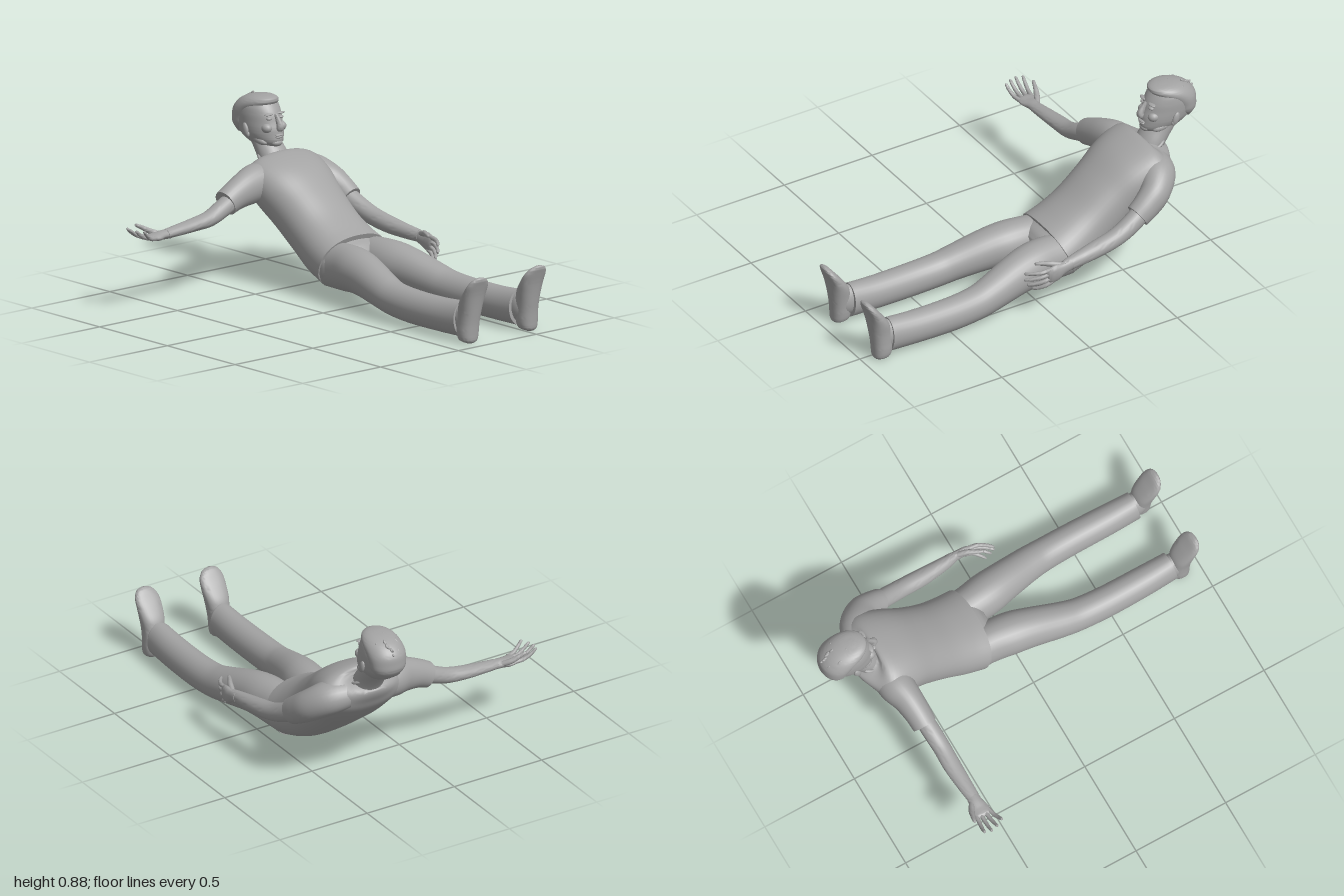
import * as THREE from 'three';
import { toCreasedNormals } from 'three/addons/utils/BufferGeometryUtils.js';

const grey = new THREE.MeshStandardMaterial({ color: 0xa3a3a3 });
grey.name = 'plain grey';
const V = (x, y, z) => new THREE.Vector3(x, y, z);
const X = V(1, 0, 0), Y = V(0, 1, 0), Z = V(0, 0, 1);
const MID = -0.34; // z of the body's plane of symmetry

// Smooth skin through sections [x, y, z, halfWidth, halfDepth]; ref gives the width direction
function loft(name, keys, ref, { axis = null, n = 28, steps = 5, e = 1 } = {}) {
  const rows = [];
  for (let i = 0; i < keys.length - 1; i++) {
    const p = [keys[Math.max(i - 1, 0)], keys[i], keys[i + 1], keys[Math.min(i + 2, keys.length - 1)]];
    for (let s = 0; s < steps; s++) {
      const t = s / steps;
      rows.push(p[1].map((_, k) => {
        const [a, b, c, d] = p.map(q => q[k]);
        return 0.5 * (2 * b + (c - a) * t + (2 * a - 5 * b + 4 * c - d) * t * t + (3 * b - a - 3 * c + d) * t ** 3);
      }));
    }
  }
  rows.push(keys[keys.length - 1]);
  const pos = [], idx = [];
  const bend = v => Math.sign(v) * Math.abs(v) ** e;
  const centre = r => V(r[0], r[1], r[2]);
  rows.forEach((r, i) => {
    const t = axis ? axis.clone() : centre(rows[Math.min(i + 1, rows.length - 1)]).sub(centre(rows[Math.max(i - 1, 0)]));
    t.normalize();
    const u = ref.clone().addScaledVector(t, -ref.dot(t)).normalize();
    const v = t.clone().cross(u);
    for (let j = 0; j < n; j++) {
      const th = j / n * Math.PI * 2;
      const p = centre(r).addScaledVector(u, Math.max(r[3], 0.001) * bend(Math.cos(th)))
        .addScaledVector(v, Math.max(r[4], 0.001) * bend(Math.sin(th)));
      pos.push(p.x, p.y, p.z);
      if (i < rows.length - 1) {
        const a = i * n + j, b = i * n + (j + 1) % n;
        idx.push(a, b, a + n, b, b + n, a + n);
      }
    }
  });
  // End caps
  const last = rows.length - 1, c0 = rows.length * n;
  pos.push(...rows[0].slice(0, 3), ...rows[last].slice(0, 3));
  for (let j = 0; j < n; j++) {
    const k = (j + 1) % n;
    idx.push(c0, k, j, c0 + 1, last * n + j, last * n + k);
  }
  const g = new THREE.BufferGeometry();
  g.setAttribute('position', new THREE.Float32BufferAttribute(pos, 3));
  g.setIndex(idx);
  return mesh(name, toCreasedNormals(g, 1.0));
}

function mesh(name, geometry) {
  const m = new THREE.Mesh(geometry, grey);
  m.name = name;
  return m;
}

function blob(name, p, r, tilt = 0) {
  const m = mesh(name, new THREE.SphereGeometry(1, 16, 12));
  m.position.set(...p);
  m.scale.set(...r);
  m.rotation.z = tilt;
  return m;
}

// Hand: dir runs along the fingers, across points to the thumb, palm is the palm's normal
function hand(name, wrist, dir, across, palm) {
  const g = new THREE.Group();
  g.name = name;
  const at = (d, a, p, w, h) => {
    const q = wrist.clone().addScaledVector(dir, d).addScaledVector(across, a).addScaledVector(palm, p);
    return [q.x, q.y, q.z, w, h];
  };
  g.add(loft('palm', [at(-0.03, 0, 0, 0.03, 0.024), at(0.02, 0.002, 0, 0.034, 0.022), at(0.06, 0.002, -0.003, 0.045, 0.019),
    at(0.095, 0, 0, 0.044, 0.014), at(0.108, 0, 0, 0.034, 0.006)], across, { n: 18 }));
  [[0.034, 0.097, 0.016], [0.012, 0.108, 0.004], [-0.012, 0.1, -0.008], [-0.034, 0.08, -0.022]].forEach(([a, len, splay], i) => {
    g.add(loft('finger' + (i + 1), [at(0.085, a, 0, 0.011, 0.011), at(0.1 + len * 0.3, a + splay * 0.4, 0.006, 0.0105, 0.0105),
      at(0.1 + len * 0.7, a + splay * 0.8, 0.027, 0.009, 0.009), at(0.1 + len * 0.97, a + splay, 0.05, 0.007, 0.007),
      at(0.1 + len, a + splay, 0.054, 0.002, 0.002)], across, { n: 10, steps: 4 }));
  });
  g.add(loft('thumb', [at(0.02, 0.022, 0.004, 0.014, 0.014), at(0.06, 0.045, 0.02, 0.015, 0.014), at(0.095, 0.058, 0.04, 0.011, 0.011),
    at(0.125, 0.066, 0.055, 0.008, 0.008), at(0.131, 0.067, 0.058, 0.002, 0.002)], across, { n: 10, steps: 4 }));
  return g;
}

function head() {
  const g = new THREE.Group();
  g.name = 'head';
  // [y, back x, front x, half width]
  const stack = rows => rows.map(([y, b, f, w]) => [(b + f) / 2, y, MID + 0.005, w, (f - b) / 2]);
  g.add(loft('skull', stack([[0.63, -0.84, -0.745, 0.03], [0.645, -0.89, -0.722, 0.054], [0.67, -0.94, -0.706, 0.074],
    [0.7, -0.972, -0.708, 0.088], [0.73, -0.988, -0.712, 0.093], [0.76, -0.996, -0.722, 0.095], [0.8, -0.99, -0.734, 0.095],
    [0.84, -0.96, -0.757, 0.087], [0.868, -0.915, -0.78, 0.064], [0.88, -0.86, -0.81, 0.02]]), Z, { axis: Y, n: 36 }));
  g.add(loft('hair', stack([[0.69, -0.968, -0.91, 0.06], [0.73, -0.997, -0.86, 0.089], [0.77, -1.0, -0.845, 0.096],
    [0.81, -0.995, -0.81, 0.098], [0.845, -0.968, -0.762, 0.092], [0.868, -0.93, -0.752, 0.076], [0.881, -0.885, -0.775, 0.05],
    [0.886, -0.84, -0.81, 0.015]]), Z, { axis: Y, n: 36 }));
  // Short tufts on the crown
  let seed = 7;
  const rnd = () => (seed = seed * 16807 % 2147483647) / 2147483647;
  for (let i = 0; i < 36; i++) {
    const a = rnd() * Math.PI * 2, h = 0.25 + rnd() * 0.7, r = Math.sqrt(1 - h * h);
    g.add(blob('tuft', [-0.885 + 0.105 * r * Math.cos(a), 0.785 + 0.095 * h, MID + 0.005 + 0.088 * r * Math.sin(a)],
      [0.014, 0.007, 0.007], rnd() * 2 - 1));
  }
  // Face
  const c = MID + 0.005;
  g.add(loft('nose', [[-0.735, 0.8, c, 0.009, 0.01], [-0.718, 0.775, c, 0.011, 0.014], [-0.702, 0.748, c, 0.017, 0.018],
    [-0.703, 0.733, c, 0.02, 0.016], [-0.71, 0.726, c, 0.012, 0.006]], Z, { n: 14 }));
  g.add(blob('upperLip', [-0.709, 0.702, c], [0.012, 0.006, 0.026]));
  g.add(blob('lowerLip', [-0.709, 0.692, c], [0.011, 0.007, 0.022]));
  g.add(blob('chin', [-0.728, 0.662, c], [0.025, 0.02, 0.034]));
  for (const s of [1, -1]) {
    g.add(blob('brow', [-0.744, 0.802, c + s * 0.037], [0.014, 0.006, 0.027]));
    g.add(blob('eye', [-0.741, 0.782, c + s * 0.037], [0.013, 0.008, 0.016]));
    g.add(blob('cheek', [-0.75, 0.735, c + s * 0.045], [0.03, 0.025, 0.027]));
    g.add(blob('jaw', [-0.8, 0.675, c + s * 0.052], [0.06, 0.022, 0.026], -0.25));
    g.add(blob('ear', [-0.846, 0.72, c + s * 0.097], [0.018, 0.034, 0.011], 0.3));
    g.add(blob('earLobe', [-0.832, 0.697, c + s * 0.094], [0.01, 0.014, 0.008]));
  }
  return g;
}

function leg(name, s) {
  const g = new THREE.Group();
  g.name = name;
  const side = rows => rows.map(([x, y, z, a, b]) => [x, y, MID + s * z, a, b]);
  g.add(loft('trouserLeg', side([[-0.22, 0.165, 0.1, 0.095, 0.11], [-0.1, 0.172, 0.105, 0.101, 0.116], [0, 0.175, 0.118, 0.105, 0.111],
    [0.1, 0.163, 0.136, 0.097, 0.103], [0.25, 0.13, 0.164, 0.086, 0.09], [0.35, 0.11, 0.176, 0.08, 0.085],
    [0.5, 0.1, 0.182, 0.077, 0.085], [0.7, 0.1, 0.181, 0.074, 0.085], [0.855, 0.107, 0.179, 0.068, 0.089]]), Z));
  g.add(loft('foot', side([[0.912, 0.001, 0.192, 0.02, 0.02], [0.9, 0.015, 0.191, 0.044, 0.042], [0.895, 0.05, 0.19, 0.052, 0.05],
    [0.897, 0.1, 0.188, 0.053, 0.052], [0.904, 0.15, 0.186, 0.056, 0.052], [0.915, 0.2, 0.185, 0.062, 0.049],
    [0.937, 0.25, 0.184, 0.066, 0.037], [0.962, 0.295, 0.185, 0.063, 0.025], [0.979, 0.325, 0.188, 0.043, 0.017],
    [0.984, 0.336, 0.19, 0.015, 0.008]]), Z, { axis: Y, e: 0.85 }));
  g.add(loft('ankle', side([[0.82, 0.11, 0.18, 0.052, 0.072], [0.87, 0.112, 0.182, 0.054, 0.08], [0.91, 0.11, 0.186, 0.045, 0.065]]), Z));
  return g;
}

export function createModel() {
  const model = new THREE.Group();
  model.name = 'recliningMan';

  // Shirt, neck and hips
  const shirt = [[-0.765, 0.582, 0.075, 0.063], [-0.752, 0.562, 0.16, 0.083], [-0.705, 0.53, 0.225, 0.115], [-0.61, 0.465, 0.222, 0.143],
    [-0.5, 0.38, 0.2, 0.147], [-0.375, 0.285, 0.194, 0.145], [-0.265, 0.215, 0.203, 0.148], [-0.175, 0.178, 0.212, 0.143]];
  model.add(loft('shirtBody', shirt.map(([x, y, a, b]) => [x, y, MID, a, b]), Z, { n: 40, e: 0.88 }));
  model.add(loft('hips', [[-0.26, 0.2, MID, 0.19, 0.13], [-0.18, 0.173, MID, 0.203, 0.13], [-0.12, 0.165, MID, 0.19, 0.11],
    [-0.085, 0.16, MID, 0.13, 0.08]], Z, { e: 0.9 }));
  model.add(loft('neck', [[-0.85, 0.71, MID, 0.07, 0.065], [-0.8, 0.64, MID, 0.073, 0.062], [-0.762, 0.59, MID, 0.078, 0.066],
    [-0.74, 0.55, MID, 0.08, 0.07]], Z));
  const collar = mesh('collar', new THREE.TorusGeometry(0.074, 0.008, 8, 36));
  collar.position.set(-0.752, 0.583, MID);
  collar.rotation.set(Math.PI / 2, -0.42, 0);
  collar.scale.set(0.9, 1.12, 1);
  model.add(collar, head());

  // Right arm, stretched out sideways with the palm up
  const right = new THREE.Group();
  right.name = 'rightArm';
  right.add(loft('sleeve', [[-0.68, 0.5, -0.25, 0.09, 0.085], [-0.675, 0.5, -0.16, 0.09, 0.095], [-0.66, 0.488, -0.08, 0.075, 0.088],
    [-0.65, 0.466, 0, 0.066, 0.074], [-0.645, 0.438, 0.065, 0.062, 0.066]], X));
  right.add(loft('arm', [[-0.64, 0.46, 0, 0.045, 0.048], [-0.63, 0.42, 0.1, 0.046, 0.044], [-0.622, 0.386, 0.19, 0.044, 0.039],
    [-0.622, 0.372, 0.29, 0.044, 0.032], [-0.617, 0.363, 0.4, 0.038, 0.027], [-0.612, 0.358, 0.48, 0.032, 0.023]], X));
  right.add(hand('rightHand', V(-0.612, 0.357, 0.485), Z, V(-1, 0, 0), Y));

  // Left arm, lowered along the body
  const left = new THREE.Group();
  left.name = 'leftArm';
  left.add(loft('sleeve', [[-0.71, 0.515, -0.44, 0.075, 0.085], [-0.685, 0.5, -0.52, 0.085, 0.088], [-0.63, 0.455, -0.585, 0.08, 0.075],
    [-0.565, 0.41, -0.61, 0.073, 0.065], [-0.51, 0.375, -0.618, 0.066, 0.06]], Y));
  left.add(loft('arm', [[-0.58, 0.415, -0.605, 0.05, 0.048], [-0.47, 0.352, -0.628, 0.049, 0.048], [-0.37, 0.312, -0.642, 0.045, 0.046],
    [-0.25, 0.288, -0.65, 0.042, 0.044], [-0.12, 0.272, -0.662, 0.035, 0.033], [-0.06, 0.266, -0.67, 0.031, 0.023]], Y));
  left.add(hand('leftHand', V(-0.07, 0.264, -0.672), V(0.96, -0.26, 0).normalize(), V(0.26, 0.96, 0).normalize(), Z));

  model.add(right, left, leg('rightLeg', 1), leg('leftLeg', -1));
  return model;
}
